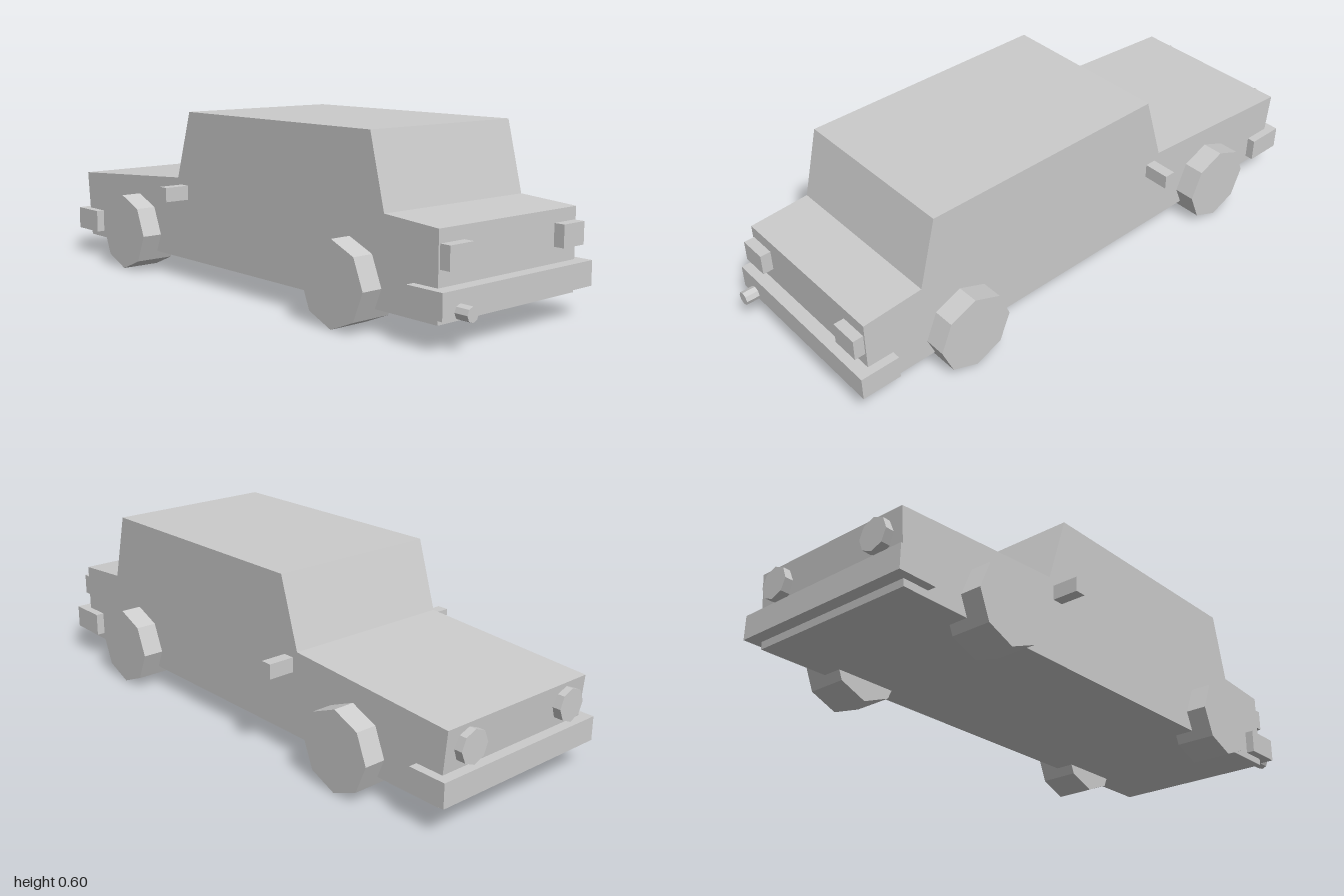
import * as THREE from 'three';

const material = new THREE.MeshStandardMaterial({ color: 0xcccccc, flatShading: true });

export function createModel() {
  const car = new THREE.Group();
  car.name = 'car';

  const add = (name, geometry, x, y, z) => {
    const mesh = new THREE.Mesh(geometry, material);
    mesh.name = name;
    mesh.position.set(x, y, z);
    car.add(mesh);
  };
  const box = (name, x0, x1, y0, y1, z0, z1) =>
    add(name, new THREE.BoxGeometry(x1 - x0, y1 - y0, z1 - z0),
      (x0 + x1) / 2, (y0 + y1) / 2, (z0 + z1) / 2);
  // Eight-sided cylinder lying along the car's length
  const lengthwise = (name, r, x0, x1, y, z) =>
    add(name, new THREE.CylinderGeometry(r, r, x1 - x0, 8).rotateZ(Math.PI / 2), (x0 + x1) / 2, y, z);

  // Body: side profile extruded across the width, nose towards -x
  const profile = new THREE.Shape([
    [-0.955, 0.073], [0.908, 0.073], [0.908, 0.345], [0.695, 0.36],
    [0.635, 0.597], [-0.27, 0.597], [-0.345, 0.36], [-0.978, 0.318],
  ].map(([x, y]) => new THREE.Vector2(x, y)));
  const width = 0.616;
  add('body', new THREE.ExtrudeGeometry(profile, { depth: width, bevelEnabled: false }), 0, 0, -width / 2);

  // Bumpers wrap slightly past the body sides
  box('frontBumper', -1, -0.865, 0.097, 0.178, -0.338, 0.338);
  box('rearBumper', 0.815, 0.953, 0.097, 0.178, -0.338, 0.338);

  // Parts on both sides
  for (const s of [-1, 1]) {
    const side = s > 0 ? 'Near' : 'Far';
    for (const [end, x] of [['front', -0.6], ['rear', 0.55]]) {
      add(`${end}Wheel${side}`,
        new THREE.CylinderGeometry(0.137, 0.137, 0.143, 8).rotateX(Math.PI / 2), x, 0.138, s * 0.311);
    }
    lengthwise(`headlight${side}`, 0.055, -1, -0.94, 0.25, s * 0.218);
    box(`taillight${side}`, 0.88, 0.945, 0.23, 0.303, s > 0 ? 0.203 : -0.302, s > 0 ? 0.302 : -0.203);
    box(`wingMirror${side}`, -0.325, -0.285, 0.287, 0.337, s > 0 ? 0.29 : -0.4, s > 0 ? 0.4 : -0.29);
  }

  // Single exhaust pipe
  lengthwise('exhaustPipe', 0.0235, 0.88, 1, 0.115, 0.266);

  return car;
}
